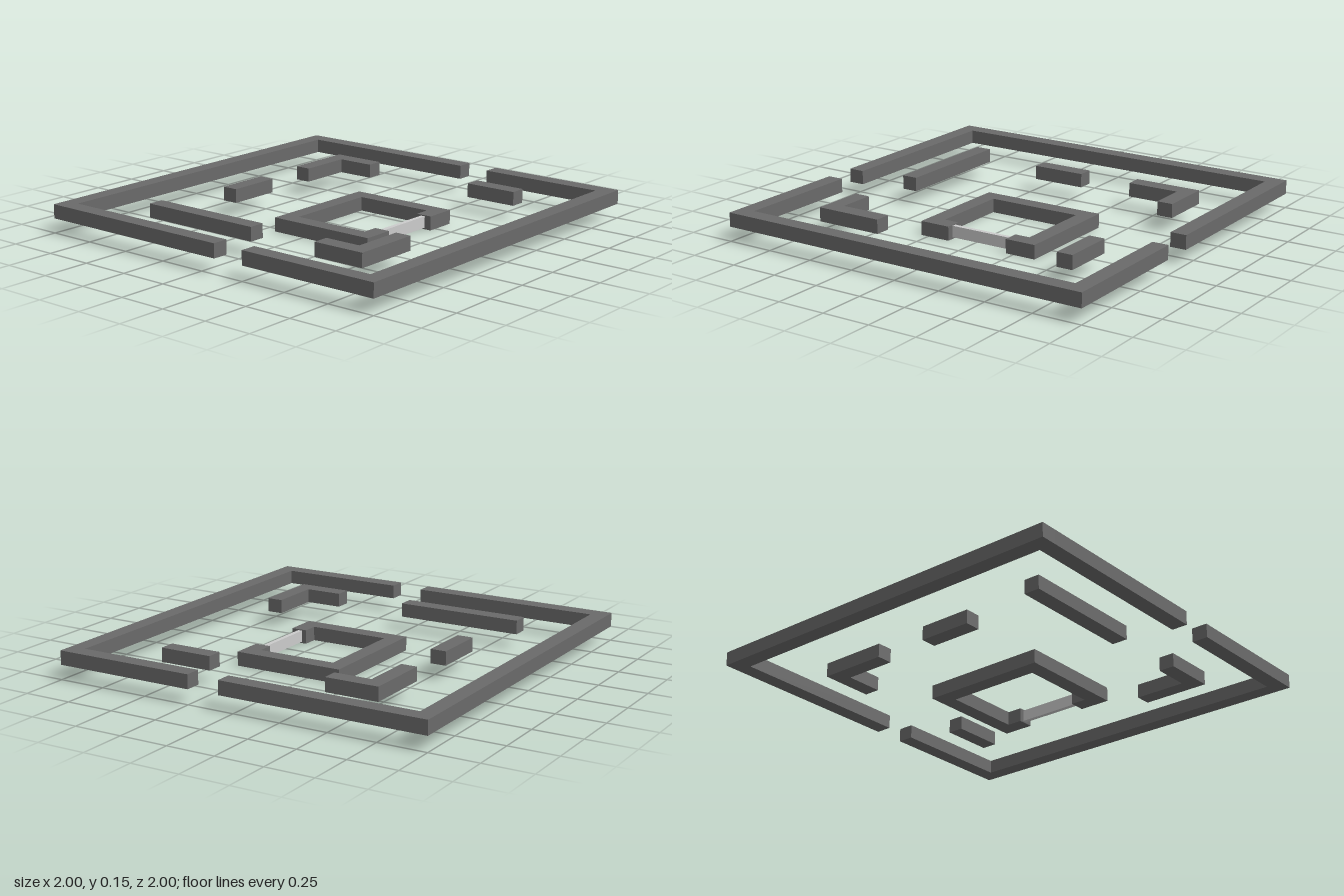
import * as THREE from 'three';

export function createModel() {
  const model = new THREE.Group();
  const wallMat = new THREE.MeshStandardMaterial({ color: 0x6a6a6a });
  const panelMat = new THREE.MeshStandardMaterial({ color: 0xcccccc });

  function group(name) {
    const g = new THREE.Group();
    g.name = name;
    model.add(g);
    return g;
  }

  // Box given by its extents in plan (x, z) and height (y)
  function block(parent, name, [x0, x1], [z0, z1], [y0, y1], mat = wallMat) {
    const mesh = new THREE.Mesh(new THREE.BoxGeometry(x1 - x0, y1 - y0, z1 - z0), mat);
    mesh.position.set((x0 + x1) / 2, (y0 + y1) / 2, (z0 + z1) / 2);
    mesh.name = name;
    parent.add(mesh);
  }

  const upper = [0.075, 0.147];
  const lower = [0, 0.072];
  const t = 0.083; // wall thickness

  // Outer square wall with a gap on each side
  const outer = group('outerWall');
  block(outer, 'outerBackWall', [-1, 1], [-1, -1 + t], upper);
  block(outer, 'outerFrontWall', [-1, 1], [1 - t, 1], upper);
  for (const [side, x] of [['Right', -1], ['Left', 1 - t]]) {
    block(outer, `outer${side}RearWall`, [x, x + t], [-1 + t, 0.08], upper);
    block(outer, `outer${side}FrontWall`, [x, x + t], [0.25, 1 - t], upper);
  }

  // Freestanding inner walls
  const inner = group('innerWalls');
  block(inner, 'longRightWall', [-0.692, -0.609], [-0.645, 0.025], upper);
  block(inner, 'shortBackWall', [-0.217, 0.064], [-0.592, -0.509], upper);
  block(inner, 'shortLeftWall', [0.628, 0.711], [0.332, 0.613], upper);

  // L-shaped corner walls
  const backCorner = group('backCornerWall');
  block(backCorner, 'backCornerLongArm', [0.353, 0.628], [-0.592, -0.509], upper);
  block(backCorner, 'backCornerSideArm', [0.628, 0.711], [-0.592, -0.311], upper);
  const frontCorner = group('frontCornerWall');
  block(frontCorner, 'frontCornerSideArm', [-0.692, -0.609], [0.415, 0.692], upper);
  block(frontCorner, 'frontCornerLongArm', [-0.609, -0.337], [0.609, 0.692], upper);

  // Central room, one level lower, with a front doorway
  const room = group('centralRoom');
  const [rx0, rx1, rz0, rz1] = [-0.291, 0.372, -0.179, 0.405];
  const [door0, door1] = [-0.128, 0.209];
  block(room, 'roomBackWall', [rx0, rx1], [rz0, rz0 + t], lower);
  block(room, 'roomRightWall', [rx0, rx0 + t], [rz0 + t, rz1 - t], lower);
  block(room, 'roomLeftWall', [rx1 - t, rx1], [rz0 + t, rz1 - t], lower);
  block(room, 'roomFrontRightWall', [rx0, door0], [rz1 - t, rz1], lower);
  block(room, 'roomFrontLeftWall', [door1, rx1], [rz1 - t, rz1], lower);

  // Thin panel closing the doorway
  block(room, 'doorPanel', [door0, door1], [0.346, 0.369], [0.008, 0.067], panelMat);

  return model;
}
